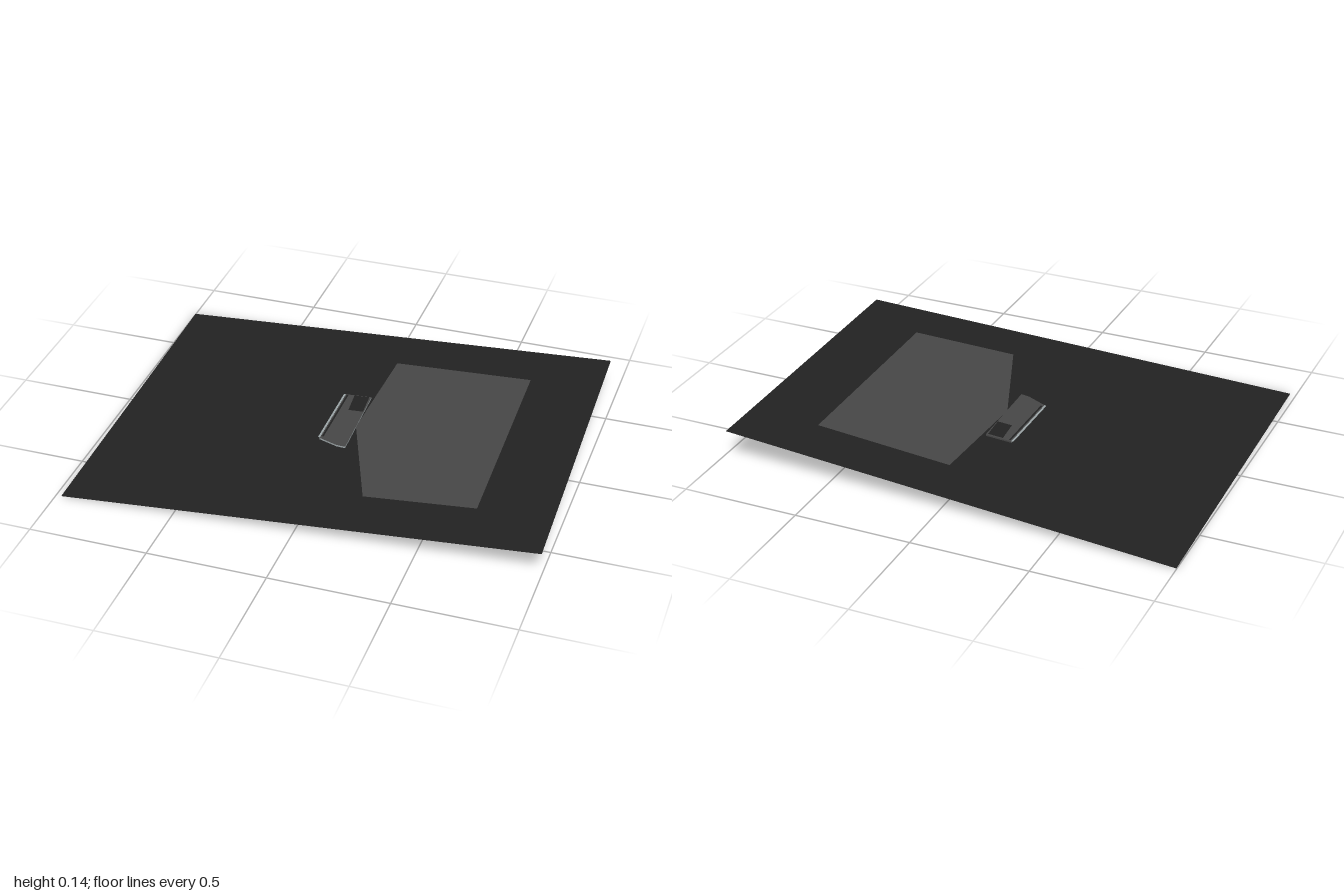
import * as THREE from 'three';

const makeMat = (name, color) => {
  const m = new THREE.MeshStandardMaterial({ color, side: THREE.DoubleSide, flatShading: true });
  m.name = name;
  return m;
};

// Height of the gently twisted main sheet
const sheetY = (x, z) => {
  const u = (x + 1) / 1.97, v = (z + 0.75) / 1.46;
  return 0.005 + u * (0.14 - 0.026 * v);
};

// Flat outline in (x, z), with its height set by a rule
function plate(name, outline, heightAt, material) {
  const shape = new THREE.Shape(outline.map(([x, z]) => new THREE.Vector2(x, -z)));
  const geo = new THREE.ShapeGeometry(shape).rotateX(-Math.PI / 2);
  const p = geo.attributes.position;
  for (let i = 0; i < p.count; i++) p.setY(i, heightAt(p.getX(i), p.getZ(i)));
  geo.computeVertexNormals();
  const mesh = new THREE.Mesh(geo, material);
  mesh.name = name;
  return mesh;
}

// Upright wall between two outline points
function wall(name, [x0, z0], [x1, z1], low, heightAt, material) {
  const a = [x0, low, z0], b = [x1, low, z1];
  const c = [x1, heightAt(x1, z1), z1], d = [x0, heightAt(x0, z0), z0];
  const geo = new THREE.BufferGeometry();
  geo.setAttribute('position', new THREE.Float32BufferAttribute([...a, ...b, ...c, ...a, ...c, ...d], 3));
  geo.computeVertexNormals();
  const mesh = new THREE.Mesh(geo, material);
  mesh.name = name;
  return mesh;
}

export function createModel() {
  const black = makeMat('charcoal', 0x222222);
  const grey = makeMat('dark grey', 0x464646);
  const light = makeMat('light grey', 0x9aa3a5);
  const model = new THREE.Group();
  model.name = 'tiltedSheet';

  // Main sheet: a subdivided four-cornered surface
  const sheet = new THREE.PlaneGeometry(1, 1, 8, 8).rotateX(-Math.PI / 2);
  const p = sheet.attributes.position;
  const mix = THREE.MathUtils.lerp;
  for (let i = 0; i < p.count; i++) {
    const u = p.getX(i) + 0.5, v = p.getZ(i) + 0.5;
    const x = mix(mix(-1, 0.96, u), mix(-0.975, 1, u), v);
    const z = mix(mix(-0.765, -0.74, u), mix(0.76, 0.675, u), v);
    p.setXYZ(i, x, mix(0.005, mix(0.144, 0.119, v), u), z);
  }
  sheet.computeVertexNormals();
  const main = new THREE.Mesh(sheet, black);
  main.name = 'mainSheet';
  model.add(main);

  // Five-sided panels above and below the sheet
  model.add(plate('upperPanel',
    [[0.055, -0.525], [0.66, -0.51], [0.685, 0.455], [0.22, 0.48], [0.035, 0]],
    (x, z) => sheetY(x, z) + 0.004, grey));
  model.add(plate('lowerPanel',
    [[0.055, -0.52], [-0.68, -0.53], [-0.68, 0.53], [0.2, 0.48], [0.035, 0]],
    (x) => Math.max(0, 0.001 + 0.076 * (x + 0.68) / 0.88 - 0.008 * (x + 0.68)), grey));

  // Small housing let through the sheet
  const housing = new THREE.Group();
  housing.name = 'housing';
  const foot = [[-0.085, -0.23], [0.03, -0.23], [0.04, 0.16], [0, 0.155], [-0.085, 0.12]];
  const topY = (x, z) => sheetY(x, z) + 0.006;
  const low = 0.032;
  housing.add(plate('housingTop', foot, topY, grey));
  housing.add(plate('housingBottom', foot, () => low, light));
  foot.forEach((a, i) => {
    const b = foot[(i + 1) % foot.length];
    housing.add(wall('housingWall', b, a, low, topY, i === 0 ? grey : light));
  });

  // Dark opening at the back and the pale rim on the outer side
  housing.add(plate('opening', [[-0.045, -0.225], [0.022, -0.225], [0.03, -0.11], [-0.035, -0.11]],
    (x, z) => topY(x, z) + 0.002, black));
  housing.add(plate('sideRim', [[-0.094, -0.23], [-0.085, -0.23], [-0.085, 0.12], [-0.094, 0.115]],
    (x, z) => topY(x, z) + 0.001, light));
  housing.add(plate('sideGroove', [[-0.08, -0.225], [-0.072, -0.225], [-0.072, 0.11], [-0.08, 0.105]],
    (x, z) => topY(x, z) + 0.001, black));
  model.add(housing);
  return model;
}
